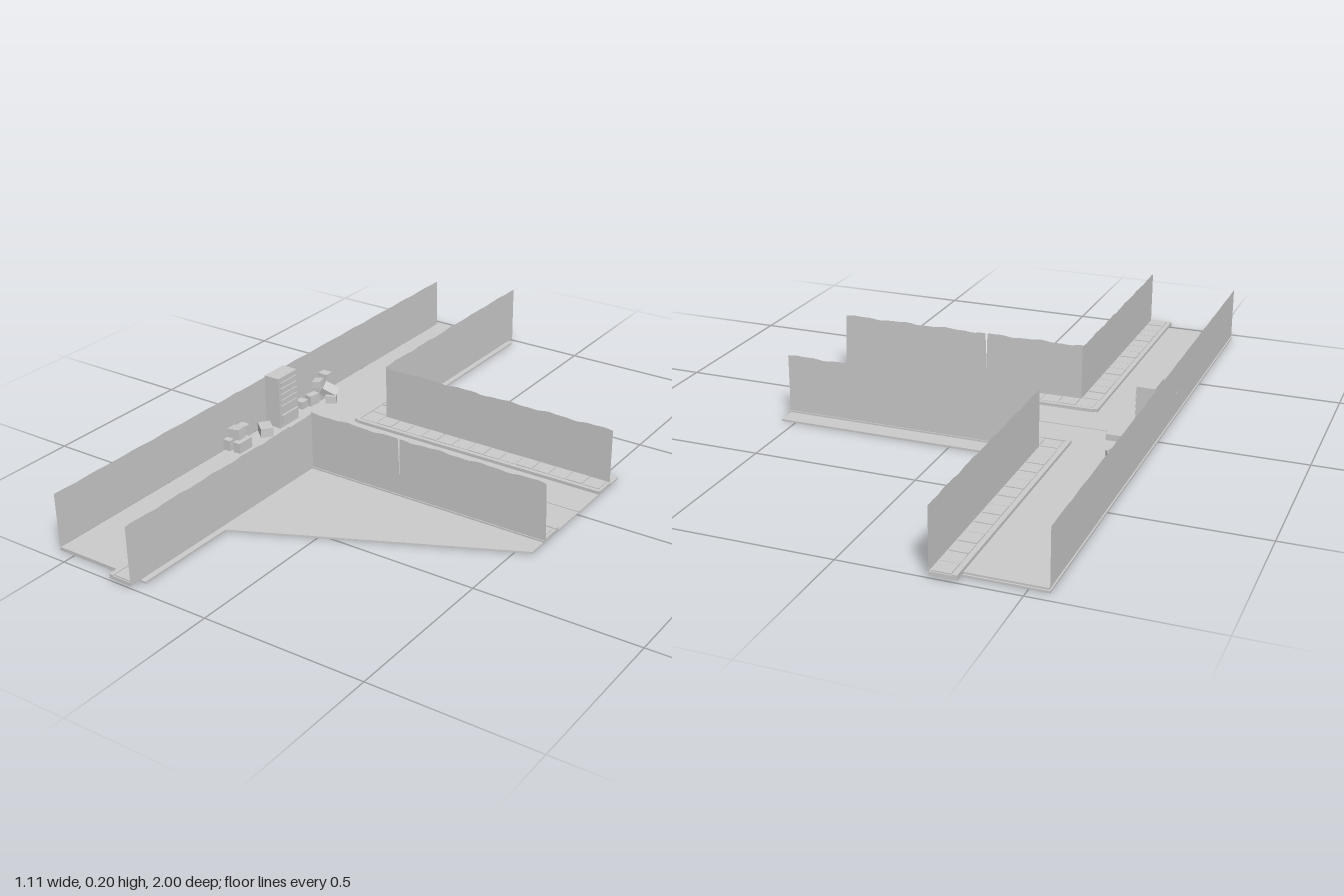
import * as THREE from 'three';

const grey = new THREE.MeshStandardMaterial({ color: 0xcccccc, flatShading: true });
const sheet = new THREE.MeshStandardMaterial({ color: 0xcccccc, side: THREE.DoubleSide });

export function createModel() {
  const model = new THREE.Group();

  const add = (name, geometry, material = grey, parent = model) => {
    const mesh = new THREE.Mesh(geometry, material);
    mesh.name = name;
    parent.add(mesh);
    return mesh;
  };
  // Box given by its extents on each axis
  const block = (name, x0, x1, y0, y1, z0, z1, parent = model) => {
    const mesh = add(name, new THREE.BoxGeometry(x1 - x0, y1 - y0, z1 - z0), grey, parent);
    mesh.position.set((x0 + x1) / 2, (y0 + y1) / 2, (z0 + z1) / 2);
    return mesh;
  };
  // Flat plate with an outline in x and z
  const plate = (name, points, bottom, top) => {
    const shape = new THREE.Shape(points.map(([x, z]) => new THREE.Vector2(x, z)));
    const geometry = new THREE.ExtrudeGeometry(shape, { depth: top - bottom, bevelEnabled: false });
    geometry.rotateX(Math.PI / 2);
    add(name, geometry).position.y = top;
  };
  // Thin upright wall with a worn top edge and an optional crack
  const wall = (name, from, to, height, { alongZ = false, at = 0, wear = 0.002, crack = null, lean = 0 }) => {
    const shape = new THREE.Shape();
    shape.moveTo(from, 0.01);
    shape.lineTo(to, 0.01);
    const steps = 48;
    let cracked = crack === null;
    for (let i = 0; i <= steps; i++) {
      const u = to + (from - to) * i / steps;
      const y = height + wear * (Math.sin(u * 41) + 0.6 * Math.sin(u * 97 + 1));
      if (!cracked && u < crack - 0.006) {
        shape.lineTo(crack + 0.003, height);
        shape.lineTo(crack + 0.001, 0.07);
        shape.lineTo(crack - 0.003, height);
        cracked = true;
      }
      if (crack === null || Math.abs(u - crack) > 0.006) shape.lineTo(i === 0 ? u - lean : u, y);
    }
    const mesh = add(name, new THREE.ShapeGeometry(shape), sheet);
    if (alongZ) {
      mesh.rotation.y = -Math.PI / 2;
      mesh.position.x = at;
    } else mesh.position.z = at;
  };

  // Ground and road surfaces
  plate('groundBase', [
    [-0.555, -0.965], [-0.238, -0.965], [-0.238, -0.26], [0.545, -0.26],
    [0.545, 0.26], [-0.238, 0.63], [-0.238, 0.96], [-0.555, 0.96],
  ], 0, 0.006);
  block('mainRoad', -0.55, -0.3, 0.006, 0.011, -0.96, 0.96);
  block('branchRoad', -0.3, 0.55, 0.006, 0.011, -0.2, 0.2);
  block('roadSeam', -0.41, 0.548, 0.011, 0.013, -0.003, 0.003);

  // L-shaped pavements with kerbs and paving slabs on both sides of the branch
  for (const s of [-1, 1]) {
    const inner = 0.127, outer = 0.197;
    plate(s < 0 ? 'rearPavement' : 'frontPavement', [
      [-0.325, s], [-0.255, s], [-0.255, s * outer],
      [0.55, s * outer], [0.55, s * inner], [-0.325, s * inner],
    ], 0.007, 0.018);
    const zBlock = (name, x0, x1, y0, y1, a, b) =>
      block(name, x0, x1, y0, y1, Math.min(s * a, s * b), Math.max(s * a, s * b));
    zBlock('mainKerb', -0.33, -0.317, 0.007, 0.021, inner, 1);
    zBlock('branchKerb', -0.317, 0.55, 0.007, 0.021, inner - 0.005, inner + 0.008);
    for (let i = 0; i < 14; i++) {
      const z = 0.205 + i * 0.0568;
      zBlock('mainPavingSlab', -0.313, -0.26, 0.018, 0.02 + (i * 5 % 3) * 0.0007, z, z + 0.053);
    }
    for (let i = 0; i < 15; i++) {
      const x = -0.31 + i * 0.057;
      zBlock('branchPavingSlab', x, x + 0.053, 0.018, 0.02 + (i * 5 % 3) * 0.0007, 0.139, 0.192);
    }
  }

  // Walls
  wall('farWall', -0.96, 0.96, 0.176, { alongZ: true, at: -0.553, wear: 0.001 });
  wall('mainRearWall', -1, -0.197, 0.196, { alongZ: true, at: -0.255, wear: 0.0015 });
  wall('mainFrontWall', 0.197, 1, 0.188, { alongZ: true, at: -0.255, wear: 0.0015 });
  wall('branchRearWall', -0.255, 0.548, 0.19, { at: -0.197 });
  wall('branchFrontWall', -0.255, 0.552, 0.192, { at: 0.197, crack: 0.06, lean: 0.006 });

  // Tall cabinet with slatted front and a low step before it
  const cabinet = new THREE.Group();
  cabinet.name = 'cabinet';
  model.add(cabinet);
  block('cabinetBody', -0.552, -0.497, 0.011, 0.183, -0.047, 0.047, cabinet);
  for (let i = 0; i < 5; i++) {
    const y = 0.075 + i * 0.02;
    block('cabinetSlat', -0.497, -0.493, y, y + 0.012, -0.04, 0.04, cabinet);
  }
  block('cabinetTray', -0.497, -0.49, 0.03, 0.055, -0.04, 0.04, cabinet);
  block('step', -0.462, -0.415, 0.011, 0.03, -0.065, 0.055);

  // Scattered crates: centre, size, rotation
  const crates = [
    [-0.535, 0.05, -0.245, 0.035, 0.075, 0.03, 0, 0, 0],
    [-0.53, 0.035, -0.205, 0.035, 0.045, 0.04, 0, 0.1, 0],
    [-0.53, 0.068, -0.2, 0.03, 0.022, 0.035, 0, 0.3, 0.15],
    [-0.522, 0.03, -0.155, 0.025, 0.035, 0.04, 0, -0.15, 0],
    [-0.535, 0.025, -0.115, 0.03, 0.025, 0.03, 0, 0, 0],
    [-0.492, 0.045, -0.21, 0.05, 0.028, 0.04, 0.3, 0.3, -0.6],
    [-0.475, 0.027, -0.195, 0.035, 0.025, 0.025, 0, 0.5, 0],
    [-0.513, 0.027, 0.102, 0.053, 0.03, 0.04, 0, -0.7, 0],
    [-0.535, 0.042, 0.185, 0.03, 0.06, 0.03, 0, 0, 0],
    [-0.53, 0.045, 0.22, 0.042, 0.065, 0.035, 0, 0.08, 0.1],
    [-0.505, 0.028, 0.225, 0.025, 0.034, 0.06, 0, 0, 0],
    [-0.54, 0.03, 0.25, 0.025, 0.035, 0.02, 0, 0, 0],
  ];
  for (const [x, y, z, w, h, d, rx, ry, rz] of crates) {
    const crate = add('crate', new THREE.BoxGeometry(w, h, d));
    crate.position.set(x, y, z);
    crate.rotation.set(rx, ry, rz);
  }

  return model;
}
